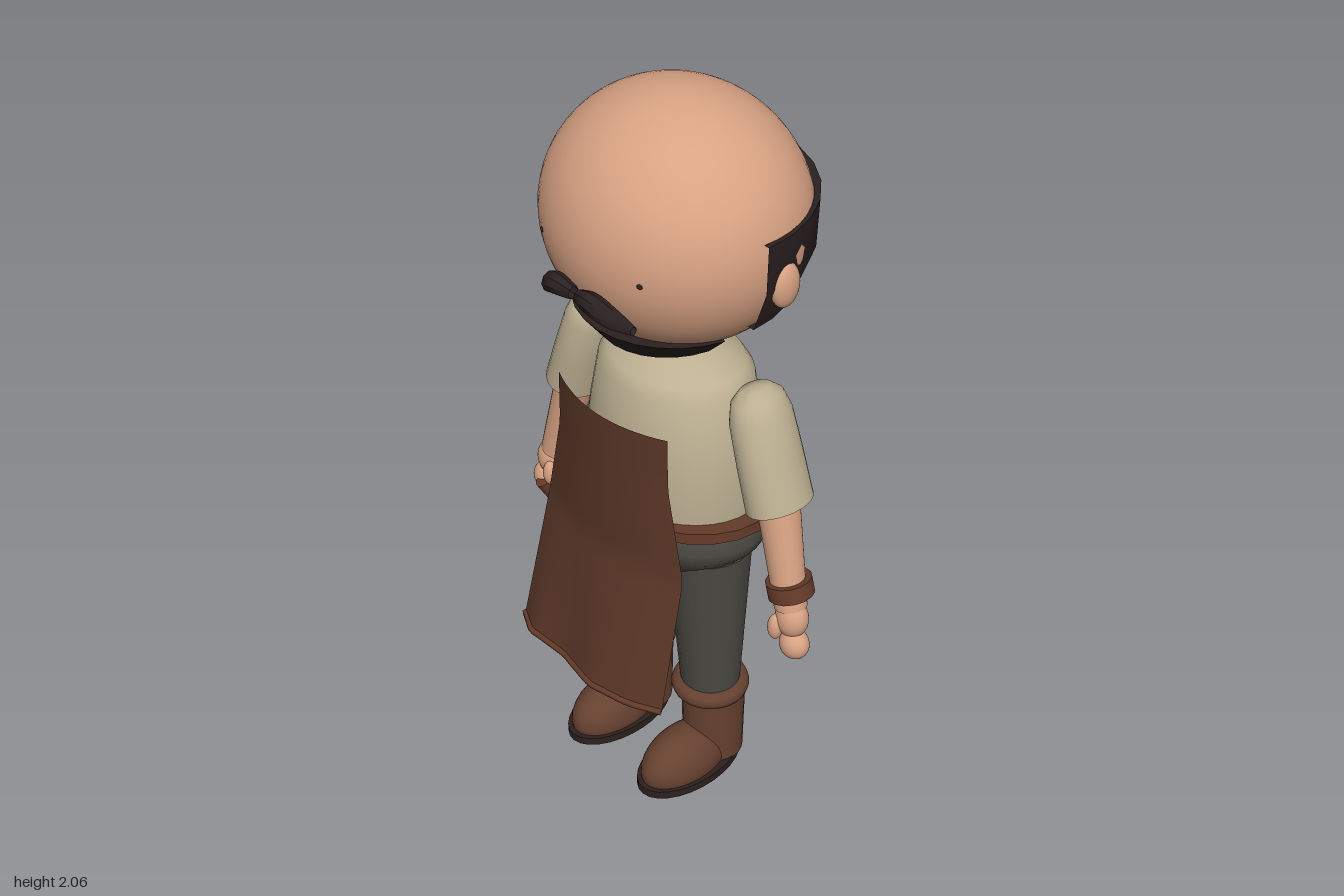
import * as THREE from 'three';
import { toCreasedNormals } from 'three/addons/utils/BufferGeometryUtils.js';

const mat = (name, color, side = THREE.FrontSide) => {
  const m = new THREE.MeshStandardMaterial({ color, side });
  m.name = name;
  return m;
};

export function createModel() {
  const skin = mat('skin', 0xd8a283);
  const shirt = mat('linen shirt', 0xbdb092);
  const trousers = mat('charcoal trousers', 0x4b4943);
  const apronMat = mat('apron leather', 0x5a3627, THREE.DoubleSide);
  const strap = mat('strap leather', 0x653b29);
  const boot = mat('boot leather', 0x664130);
  const hair = mat('black hair', 0x2b2020, THREE.DoubleSide);
  const sole = mat('dark sole', 0x2c201d);
  const steel = mat('steel', 0x8d929e);

  const model = new THREE.Group();
  const V = (x, y, z) => new THREE.Vector3(x, y, z);
  const UP = V(0, 1, 0);

  const add = (name, geo, material, pos = [0, 0, 0], scale = [1, 1, 1], parent = model) => {
    const m = new THREE.Mesh(geo, material);
    m.name = name;
    m.position.set(...pos);
    m.scale.set(...scale);
    parent.add(m);
    return m;
  };
  const ball = (name, material, pos, radii) =>
    add(name, new THREE.SphereGeometry(1, 32, 20), material, pos, radii);
  const lathe = (pts, segs = 32) =>
    toCreasedNormals(new THREE.LatheGeometry(pts.map(p => new THREE.Vector2(...p)), segs), 0.9);
  // Tapered limb from a (radius ra) up to b (radius rb)
  const limb = (name, material, a, b, ra, rb) => {
    const m = add(name, new THREE.CylinderGeometry(rb, ra, a.distanceTo(b), 20), material);
    m.position.copy(a).lerp(b, 0.5);
    m.quaternion.setFromUnitVectors(UP, b.clone().sub(a).normalize());
    return m;
  };
  // Grid of points from a rule f(u, v)
  const sheet = (nu, nv, f) => {
    const g = new THREE.PlaneGeometry(1, 1, nu, nv);
    const p = g.attributes.position;
    for (let i = 0; i < p.count; i++) p.setXYZ(i, ...f(p.getX(i) + 0.5, p.getY(i) + 0.5));
    g.computeVertexNormals();
    return toCreasedNormals(g, 0.7);
  };
  // Open elliptical band; rows are [y, rx, rz], angle measured from the front
  const band = (rows, cz, a0, a1, segs) => sheet(segs, rows.length - 1, (u, v) => {
    const [y, rx, rz] = rows[Math.round(v * (rows.length - 1))];
    const a = a0 + (a1 - a0) * u;
    return [rx * Math.sin(a), y, cz + rz * Math.cos(a)];
  });
  // Piecewise linear lookup
  const interp = (table, x) => {
    let i = 0;
    while (i < table.length - 2 && x > table[i + 1][0]) i++;
    const [x0, y0] = table[i], [x1, y1] = table[i + 1];
    return y0 + (y1 - y0) * (x - x0) / (x1 - x0);
  };

  // Head
  add('head', new THREE.SphereGeometry(1, 48, 32), skin, [0, 1.68, -0.015], [0.342, 0.32, 0.315]);
  add('neck', new THREE.CylinderGeometry(0.07, 0.075, 0.14, 24), skin, [0, 1.34, -0.03]);
  add('hairBand', band([[1.5, 0.28, 0.27], [1.5, 0.3, 0.29], [1.62, 0.343, 0.345],
    [1.75, 0.347, 0.352], [1.75, 0.325, 0.33]], 0, 1.49, 2 * Math.PI - 1.49, 14), hair);
  add('beard', band([[1.335, 0.04, 0.06], [1.345, 0.09, 0.13], [1.385, 0.18, 0.2],
    [1.455, 0.25, 0.252], [1.455, 0.22, 0.21]], -0.01, -1.3, 1.3, 12), hair);

  for (const s of [1, -1]) {
    ball('ear', skin, [s * 0.335, 1.615, -0.04], [0.026, 0.06, 0.042]);
    ball('eye', hair, [s * 0.165, 1.665, 0.256], [0.008, 0.008, 0.008]);

    // Moustache half, swelling in the middle
    const curve = new THREE.CatmullRomCurve3([V(s * 0.008, 1.585, 0.305), V(s * 0.06, 1.59, 0.31),
      V(s * 0.11, 1.565, 0.293), V(s * 0.148, 1.535, 0.262)]);
    add('moustache', sheet(10, 8, (u, v) => {
      const c = curve.getPoint(u), r = 0.008 + 0.021 * Math.sin(Math.PI * (0.15 + 0.8 * u));
      const a = v * 2 * Math.PI;
      return [c.x, c.y + r * Math.cos(a), c.z + r * 0.9 * Math.sin(a)];
    }), hair);
  }

  // Torso and belt
  add('shirt', lathe([[0, 0.83], [0.245, 0.84], [0.262, 0.92], [0.24, 1.1], [0.215, 1.24],
    [0.19, 1.275], [0.13, 1.3], [0.06, 1.33], [0, 1.33]], 40), shirt, [0, 0, -0.015], [1, 1, 0.81]);
  add('hips', lathe([[0, 0.675], [0.13, 0.68], [0.21, 0.71], [0.262, 0.77], [0.275, 0.81],
    [0.26, 0.85], [0, 0.86]], 40), trousers, [0, 0, -0.015], [1, 1, 0.76]);
  add('belt', lathe([[0.25, 0.874], [0.302, 0.874], [0.302, 0.906], [0.25, 0.906]], 24),
    strap, [0, 0, -0.015], [1, 1, 0.79]);

  // Apron: flat bib that flares forward into a wavy hem
  const halfWidth = [[0.42, 0.265], [0.8, 0.25], [1.06, 0.197], [1.21, 0.195]];
  const hemWave = [[-0.265, 0.288], [-0.2, 0.323], [-0.07, 0.322], [0.06, 0.35], [0.18, 0.328], [0.265, 0.288]];
  const apronPoint = (u, y) => {
    const x = (2 * u - 1) * interp(halfWidth, y);
    const bib = 0.248 - 0.048 * (2 * u - 1) ** 2;
    const t = Math.max(0, (0.8 - y) / 0.38);
    return [x, y, bib + (interp(hemWave, (2 * u - 1) * 0.265) - bib) * t];
  };
  add('apron', sheet(16, 24, (u, v) => apronPoint(u, 0.42 + 0.79 * v)), apronMat);
  const hemPath = new THREE.CatmullRomCurve3(
    Array.from({ length: 17 }, (_, i) => V(...apronPoint(i / 16, 0.424))));
  add('apronHem', new THREE.TubeGeometry(hemPath, 32, 0.009, 6), strap);

  for (const s of [1, -1]) {
    // Leg and boot
    limb('leg', trousers, V(s * 0.14, 0.25, -0.01), V(s * 0.13, 0.74, -0.008), 0.078, 0.112);
    add('bootCuff', new THREE.TorusGeometry(0.079, 0.026, 10, 28).rotateX(Math.PI / 2),
      boot, [s * 0.14, 0.26, -0.01]);
    add('bootShaft', new THREE.CylinderGeometry(0.086, 0.082, 0.235, 24), boot, [s * 0.14, 0.137, -0.022]);
    ball('bootToe', boot, [s * 0.14, 0.04, 0.085], [0.084, 0.095, 0.143]);
    add('sole', new THREE.CylinderGeometry(1, 1, 0.024, 28), sole, [s * 0.14, 0.012, 0.068], [0.096, 1, 0.172]);

    // Arm
    const sleeve = add('sleeve', lathe([[0, 0.01], [0.076, 0], [0.074, 0.12], [0.07, 0.24],
      [0.058, 0.29], [0.035, 0.315], [0, 0.322]], 24), shirt, [s * 0.368, 1.005, -0.013], [1, 1, 1.22]);
    sleeve.rotation.z = s * 0.305;
    limb('forearm', skin, V(s * 0.44, 0.73, 0.01), V(s * 0.36, 1.04, -0.01), 0.042, 0.056);
    ball('palm', skin, [s * 0.45, 0.7, 0.015], [0.045, 0.055, 0.04]);
    ball('fingers', skin, [s * 0.468, 0.63, 0.022], [0.041, 0.042, 0.036]);
    ball('thumb', skin, [s * 0.425, 0.675, 0.048], [0.02, 0.038, 0.02]);
  }

  // Wristband on the left arm
  const wristband = add('wristband', lathe([[0.035, -0.022], [0.06, -0.022], [0.06, 0.022], [0.035, 0.022]], 14),
    strap, [0.43, 0.785, 0.005]);
  wristband.rotation.z = 0.28;

  // Hammer held in the right hand
  const hammer = new THREE.Group();
  hammer.name = 'hammer';
  hammer.position.set(-0.405, 0.325, -0.115);
  hammer.rotation.set(0.5, 0, 0.14, 'ZYX');
  model.add(hammer);
  add('hammerHead', new THREE.BoxGeometry(0.2, 0.1, 0.1), steel, [0, 0, 0], [1, 1, 1], hammer);
  add('hammerHandle', new THREE.CylinderGeometry(0.02, 0.02, 0.36, 10), strap, [0, 0.18, 0], [1, 1, 1], hammer);

  return model;
}
